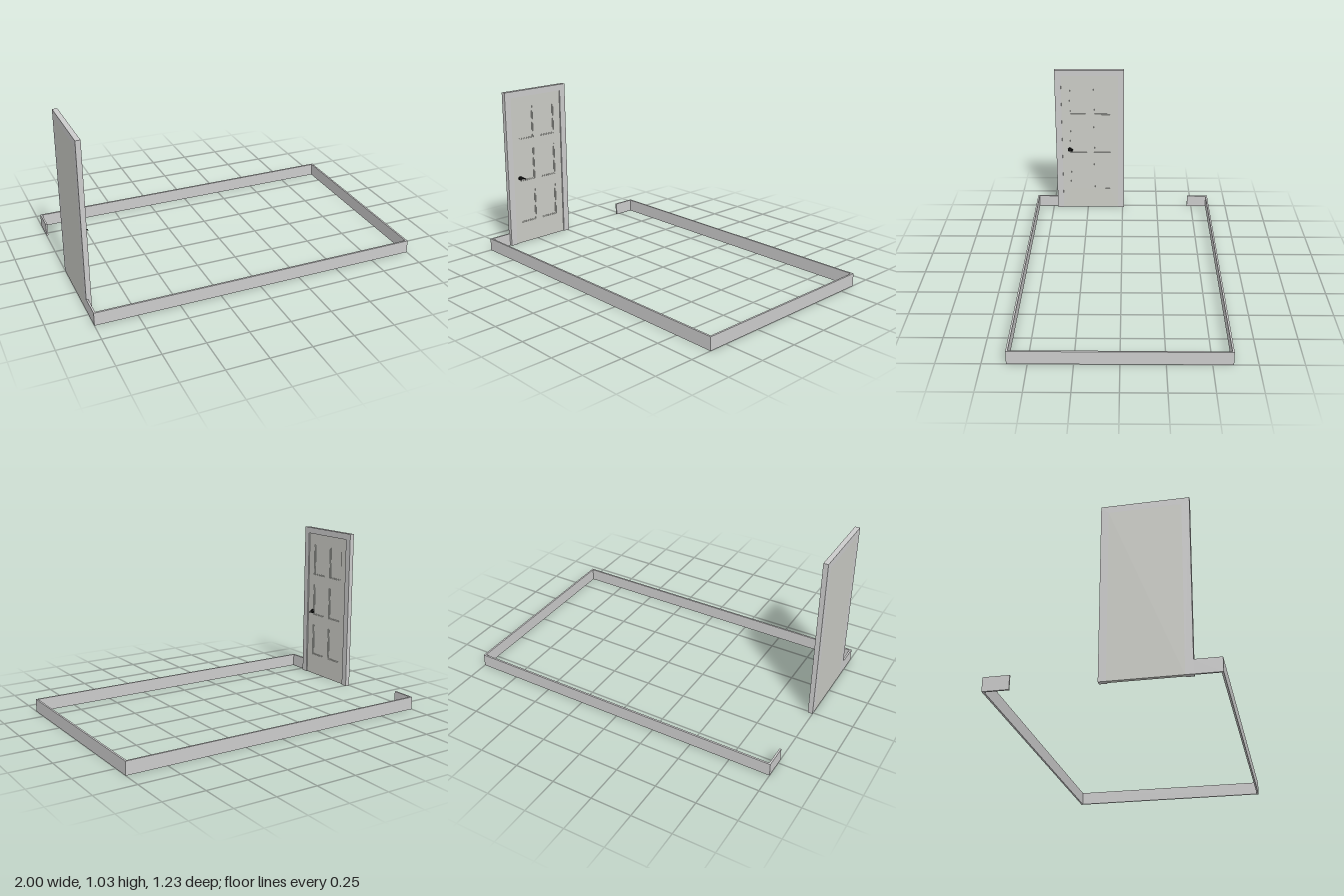
import * as THREE from 'three';

const grey = new THREE.MeshStandardMaterial({ color: 0xcccccc });
const paint = new THREE.MeshStandardMaterial({ color: 0xcbccc6 });
const black = new THREE.MeshStandardMaterial({ color: 0x111111 });

function add(parent, name, geometry, material) {
  const mesh = new THREE.Mesh(geometry, material);
  mesh.name = name;
  parent.add(mesh);
  return mesh;
}

const polygon = (points) => new THREE.Shape(points.map(([x, y]) => new THREE.Vector2(x, y)));

// Outline in the door plane, given by z and y ranges (shape x runs along -z)
const rect = (z0, z1, y0, y1) => [[-z1, y0], [-z0, y0], [-z0, y1], [-z1, y1]];

// Extrudes a door-plane shape along +x between two depths
function layer(shape, x0, x1) {
  const g = new THREE.ExtrudeGeometry(shape, { depth: x1 - x0, bevelEnabled: false });
  return g.rotateY(Math.PI / 2).translate(x0, 0, 0);
}

export function createModel() {
  const model = new THREE.Group();
  model.name = 'doorAndSkirting';

  // Skirting board: one mitred run round the room, open on the door side
  const X = 1, Z = 0.615, t = 0.011, h = 0.08;
  const plan = polygon([
    [-X, -0.465], [-X, -Z], [X, -Z], [X, Z], [-X, Z], [-X, 0.47],
    [-X + t, 0.47], [-X + t, Z - t], [X - t, Z - t], [X - t, -Z + t],
    [-X + t, -Z + t], [-X + t, -0.465],
  ]);
  const run = new THREE.ExtrudeGeometry(plan, { depth: h, bevelEnabled: false });
  add(model, 'skirtingBoard', run.rotateX(-Math.PI / 2), grey);

  const door = new THREE.Group();
  door.name = 'door';
  model.add(door);

  // Frame: two jambs and a head
  const z0 = -0.01, z1 = 0.47, top = 1.035;
  const in0 = 0.032, in1 = 0.427, inTop = 0.995;
  const frame = polygon([
    [-z1, 0], [-in1, 0], [-in1, inTop], [-in0, inTop],
    [-in0, 0], [-z0, 0], [-z0, top], [-z1, top],
  ]);
  add(door, 'doorFrame', layer(frame, -1, -0.97), grey);

  // Leaf: solid back, then two layers whose openings step in to six panels
  const columns = [[0.087, 0.203], [0.255, 0.371]];
  const rows = [[0.14, 0.355], [0.427, 0.64], [0.711, 0.922]];
  const leafLayer = (inset) => {
    const shape = polygon(rect(in0, in1, 0, inTop));
    for (const [a, b] of columns)
      for (const [c, d] of rows)
        shape.holes.push(polygon(rect(a + inset, b - inset, c + inset, d - inset)));
    return shape;
  };
  add(door, 'leafPanels', layer(polygon(rect(in0, in1, 0, inTop)), -1, -0.985), paint);
  add(door, 'panelMoulding', layer(leafLayer(0.005), -0.985, -0.9815), paint);
  add(door, 'leafFace', layer(leafLayer(0), -0.9815, -0.978), paint);

  // Handle: round rose, short crank and a rod pointing into the room
  const handle = new THREE.Group();
  handle.name = 'handle';
  handle.position.set(-0.978, 0.45, 0.375);
  door.add(handle);
  const rose = add(handle, 'rose', new THREE.CylinderGeometry(0.013, 0.013, 0.012, 24), black);
  rose.rotation.z = Math.PI / 2;
  rose.position.x = 0.006;
  const crank = add(handle, 'crank', new THREE.BoxGeometry(0.008, 0.008, 0.02), black);
  crank.position.set(0.012, 0, -0.011);
  const rod = add(handle, 'rod', new THREE.CylinderGeometry(0.0045, 0.0045, 0.032, 16), black);
  rod.rotation.z = Math.PI / 2;
  rod.position.set(0.027, 0, -0.0165);

  return model;
}
